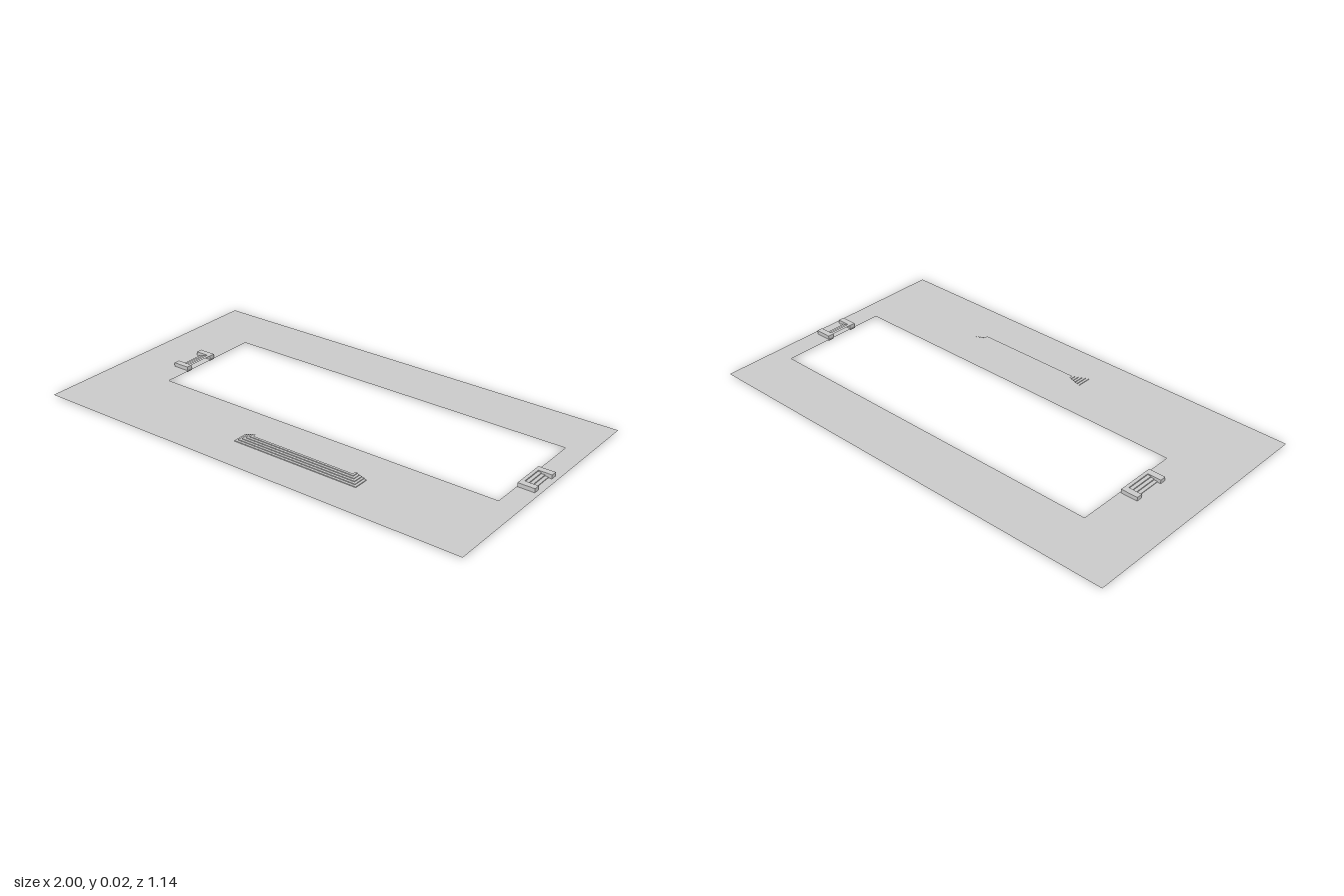
import * as THREE from 'three';

const FLOOR = 0.006, TOP = 0.023, STEPS = 5;
const material = new THREE.MeshStandardMaterial({ color: 0xcccccc, side: THREE.DoubleSide, flatShading: true });

function add(parent, name, geometry) {
  const mesh = new THREE.Mesh(geometry, material);
  mesh.name = name;
  parent.add(mesh);
  return mesh;
}

// Open sheet joining consecutive rows of points
function loft(rows) {
  const pos = [];
  for (let i = 0; i + 1 < rows.length; i++) {
    for (let j = 0; j + 1 < rows[i].length; j++) {
      const a = rows[i][j], b = rows[i][j + 1], c = rows[i + 1][j + 1], d = rows[i + 1][j];
      pos.push(...a, ...b, ...c, ...a, ...c, ...d);
    }
  }
  const g = new THREE.BufferGeometry();
  g.setAttribute('position', new THREE.Float32BufferAttribute(pos, 3));
  g.computeVertexNormals();
  return g;
}

// Riser and tread rows; rowAt(t, y) gives the row at inward fraction t
function stairs(base, rowAt) {
  const rows = [rowAt(0, base)];
  for (let i = 0; i < STEPS; i++) {
    const y = base + (TOP - base) * (i + 1) / STEPS;
    rows.push(rowAt(i / STEPS, y), rowAt((i + 1) / STEPS, y));
  }
  return loft(rows);
}

// Steps between two cheek walls, climbing from outer x to inner x
function sideStair(name, outer, inner, zBack, zFront) {
  const group = new THREE.Group();
  group.name = name;
  const rail = 0.027;
  for (const z of [zBack + rail / 2, zFront - rail / 2]) {
    const wall = add(group, 'cheekWall', new THREE.BoxGeometry(Math.abs(outer - inner), TOP, rail));
    wall.position.set((outer + inner) / 2, TOP / 2, z);
  }
  add(group, 'steps', stairs(0, (t, y) => {
    const x = outer + (inner - outer) * t;
    return [[x, y, zFront - rail], [x, y, zBack + rail]];
  }));
  return group;
}

export function createModel() {
  const model = new THREE.Group();
  model.name = 'floorWithStairs';

  // Thin floor with an off-centre rectangular opening
  const rect = (P, x0, x1, z0, z1) => new P([[x0, z0], [x1, z0], [x1, z1], [x0, z1]].map(p => new THREE.Vector2(p[0], -p[1])));
  const shape = rect(THREE.Shape, -1, 1, -0.57, 0.57);
  shape.holes.push(rect(THREE.Path, -0.715, 0.905, -0.315, 0.18));
  add(model, 'floor', new THREE.ShapeGeometry(shape).rotateX(-Math.PI / 2).translate(0, FLOOR, 0));

  // Wide front stair, wrapping round both ends and open at the back
  add(model, 'frontStair', stairs(FLOOR, (t, y) => {
    const o = 0.053 * t, x0 = -0.14 + o, x1 = 0.445 - o, z = 0.418 - o;
    return [[x0, y, 0.35], [x0, y, z], [x1, y, z], [x1, y, 0.35]];
  }));

  model.add(sideStair('rightStair', -0.795, -0.72, -0.11, 0.06));
  model.add(sideStair('leftStair', 0.98, 0.907, -0.1, 0.053));
  return model;
}
